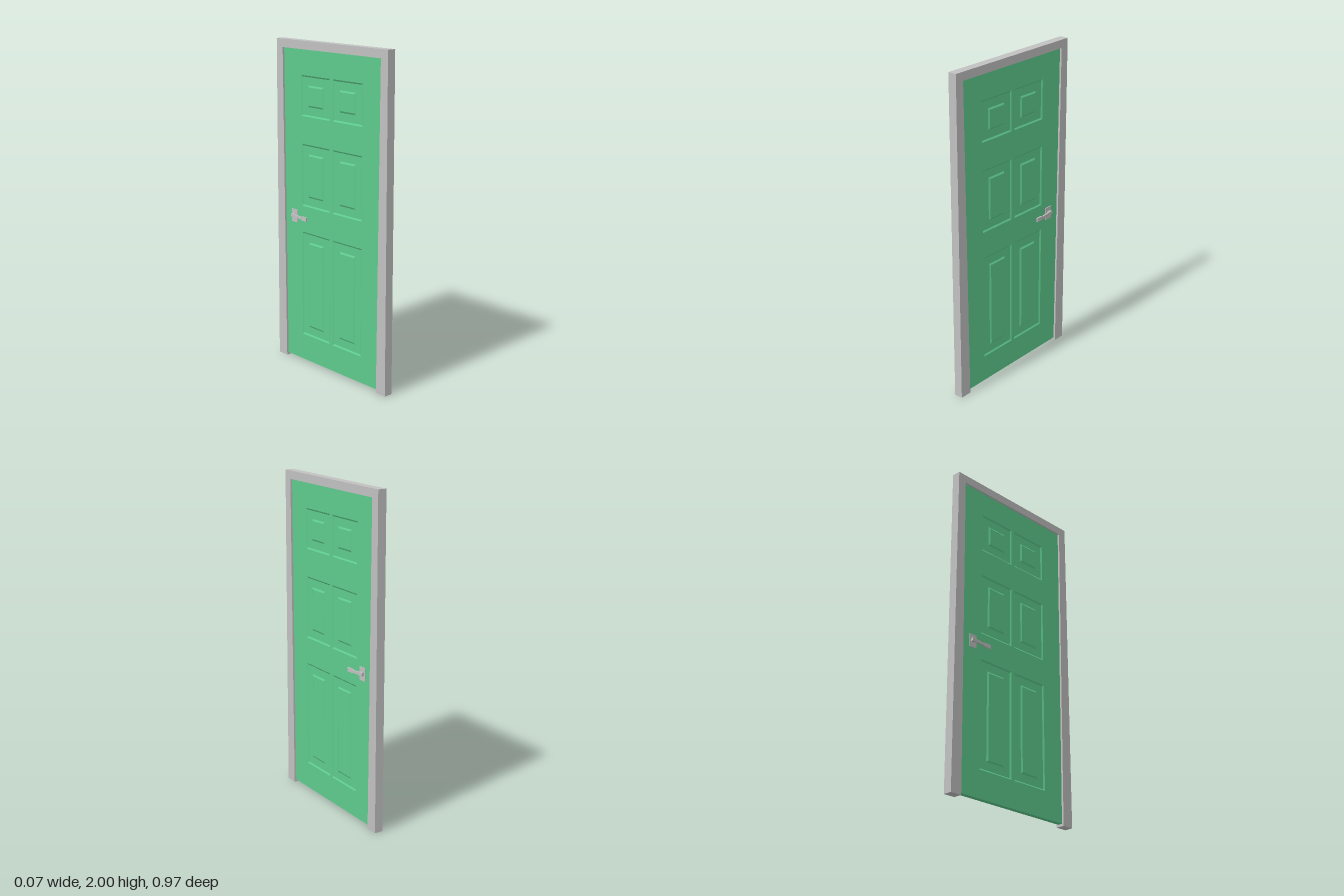
import * as THREE from 'three';

const green = new THREE.MeshStandardMaterial({ color: 0x5fcb8d });
green.name = 'door green';
const grey = new THREE.MeshStandardMaterial({ color: 0xc1c1c1 });
grey.name = 'frame grey';

const FRAME_HALF = 0.027;
const DOOR_HALF = 0.015;
const COLUMNS = [[-0.265, -0.012], [0.012, 0.265]];
const ROWS = [[1.553, 1.797], [1.003, 1.385], [0.18, 0.84]];

const polygon = (points) => new THREE.Shape(points.map(([x, y]) => new THREE.Vector2(x, y)));

function mesh(name, geometry, material) {
  const m = new THREE.Mesh(geometry, material);
  m.name = name;
  return m;
}

// Extrude an outline so it runs from z0 to z1
function slab(name, shape, z0, z1, material) {
  const g = new THREE.ExtrudeGeometry(shape, { depth: z1 - z0, bevelEnabled: false });
  g.translate(0, 0, z0);
  return mesh(name, g, material);
}

// Moulded panel: nested rectangles stepping in and back out, closed by a flat field
function panelGeometry(x0, x1, y0, y1) {
  const steps = [[0, 0], [0.009, -0.006], [0.058, -0.006], [0.068, 0]];
  const rings = steps.map(([i, d]) => [
    [x0 + i, y0 + i, d], [x1 - i, y0 + i, d], [x1 - i, y1 - i, d], [x0 + i, y1 - i, d],
  ]);
  const pos = [];
  const quad = (a, b, c, d) => pos.push(...a, ...b, ...c, ...a, ...c, ...d);
  for (let r = 0; r < rings.length - 1; r++) {
    for (let k = 0; k < 4; k++) {
      const n = (k + 1) % 4;
      quad(rings[r][k], rings[r][n], rings[r + 1][n], rings[r + 1][k]);
    }
  }
  quad(...rings[rings.length - 1]);
  const g = new THREE.BufferGeometry();
  g.setAttribute('position', new THREE.Float32BufferAttribute(pos, 3));
  g.computeVertexNormals();
  return g;
}

function box(name, x0, x1, y0, y1, z0, z1) {
  const g = new THREE.BoxGeometry(x1 - x0, y1 - y0, z1 - z0);
  g.translate((x0 + x1) / 2, (y0 + y1) / 2, (z0 + z1) / 2);
  return mesh(name, g, grey);
}

// Backplate, spindle and lever, built facing +z
function handle(side) {
  const group = new THREE.Group();
  group.name = side > 0 ? 'rightHandle' : 'leftHandle';
  const span = (a, b) => (side > 0 ? [a, b] : [-b, -a]);
  group.add(box('backplate', 0.303, 0.357, 0.89, 0.97, ...span(DOOR_HALF, 0.019)));
  group.add(box('spindle', 0.322, 0.346, 0.922, 0.944, ...span(0.019, 0.028)));
  const lever = polygon([
    [0.205, 0.915], [0.25, 0.917], [0.26, 0.922], [0.32, 0.922], [0.348, 0.924],
    [0.348, 0.942], [0.32, 0.942], [0.26, 0.936], [0.25, 0.94], [0.205, 0.94],
  ]);
  group.add(slab('lever', lever, ...span(0.026, 0.035), grey));
  return group;
}

export function createModel() {
  const model = new THREE.Group();
  model.name = 'door';

  // Everything is laid out facing +z, then turned to face the sides
  const turned = new THREE.Group();
  turned.name = 'doorAssembly';
  turned.rotation.y = Math.PI / 2;
  model.add(turned);

  // Frame: two posts and a head in one outline, slightly wider at the foot
  const frame = polygon([
    [-0.483, 0], [-0.408, 0], [-0.421, 1.95], [0.421, 1.95],
    [0.408, 0], [0.483, 0], [0.476, 2], [-0.476, 2],
  ]);
  turned.add(slab('frame', frame, -FRAME_HALF, FRAME_HALF, grey));

  // Door leaf with openings for the panels
  const leaf = polygon([[-0.408, 0.015], [0.408, 0.015], [0.421, 1.95], [-0.421, 1.95]]);
  for (const [x0, x1] of COLUMNS) {
    for (const [y0, y1] of ROWS) {
      leaf.holes.push(polygon([[x0, y0], [x0, y1], [x1, y1], [x1, y0]]));
    }
  }
  turned.add(slab('leaf', leaf, -DOOR_HALF, DOOR_HALF, green));

  // Panels and handle on both sides
  for (const side of [1, -1]) {
    const panels = new THREE.Group();
    panels.name = side > 0 ? 'rightPanels' : 'leftPanels';
    panels.rotation.y = side > 0 ? 0 : Math.PI;
    for (const [x0, x1] of COLUMNS) {
      for (const [y0, y1] of ROWS) {
        const p = mesh('panel', panelGeometry(x0, x1, y0, y1), green);
        p.position.z = DOOR_HALF;
        panels.add(p);
      }
    }
    turned.add(panels, handle(side));
  }
  return model;
}
